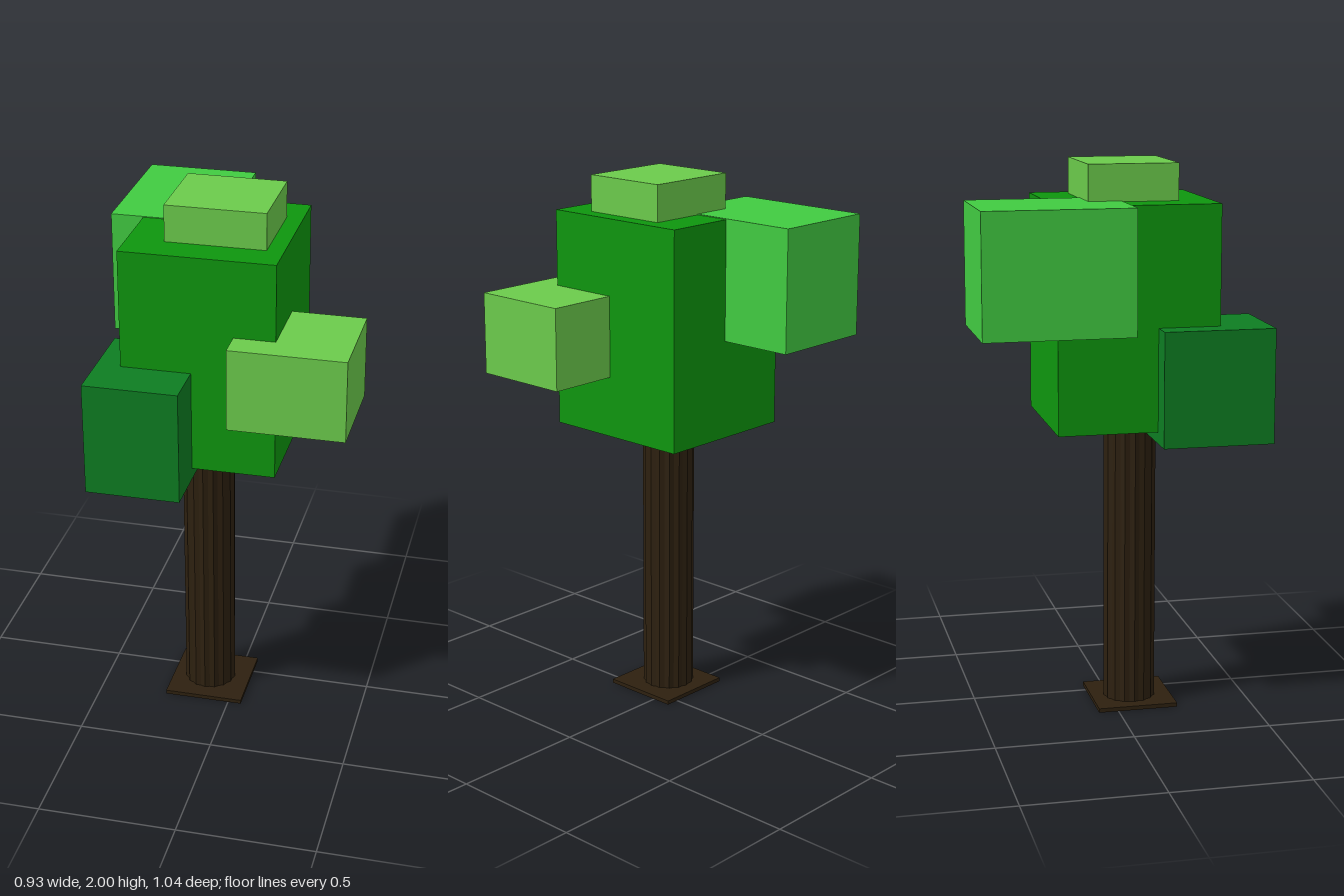
import * as THREE from 'three';

const material = (name, color, flatShading = false) => {
  const m = new THREE.MeshStandardMaterial({ color, flatShading });
  m.name = name;
  return m;
};

export function createModel() {
  const tree = new THREE.Group();
  tree.name = 'tree';

  const bark = material('bark brown', 0x2d200f, true);
  const leaf = material('leaf green', 0x0e960e);
  const bright = material('bright green', 0x41cb41);
  const lime = material('lime green', 0x6bcb4b);
  const deep = material('deep green', 0x0d7d22);

  // Box given by its lowest and highest corners
  const block = (name, mat, min, max) => {
    const size = max.map((v, i) => v - min[i]);
    const mesh = new THREE.Mesh(new THREE.BoxGeometry(...size), mat);
    mesh.position.set(...max.map((v, i) => (v + min[i]) / 2));
    mesh.name = name;
    tree.add(mesh);
  };

  // Base plate
  block('basePlate', bark, [-0.245, 0, -0.073], [0.05, 0.015, 0.222]);

  // Trunk: a shallowly fluted column, alternate corners pulled inwards
  const flutes = 16;
  const outline = new THREE.Shape();
  for (let i = 0; i < flutes * 2; i++) {
    const angle = (i / flutes) * Math.PI;
    const r = i % 2 ? 0.09 : 0.096;
    outline[i ? 'lineTo' : 'moveTo'](Math.cos(angle) * r, Math.sin(angle) * r);
  }
  outline.closePath();
  const column = new THREE.ExtrudeGeometry(outline, { depth: 1.1, bevelEnabled: false });
  column.rotateX(-Math.PI / 2);
  const trunk = new THREE.Mesh(column, bark);
  trunk.position.set(-0.105, 0.01, 0.07);
  trunk.name = 'trunk';
  tree.add(trunk);

  // Foliage blocks
  block('mainFoliage', leaf, [-0.35, 1.07, -0.24], [0.2, 1.868, 0.34]);
  block('topFoliage', lime, [-0.217, 1.82, -0.105], [0.14, 2, 0.22]);
  block('backFoliage', bright, [-0.467, 1.43, -0.52], [-0.067, 1.871, 0.014]);
  block('frontFoliage', deep, [-0.437, 1.028, 0.117], [-0.098, 1.44, 0.517]);
  block('sideFoliage', lime, [0.052, 1.292, 0.073], [0.465, 1.59, 0.443]);

  return tree;
}
